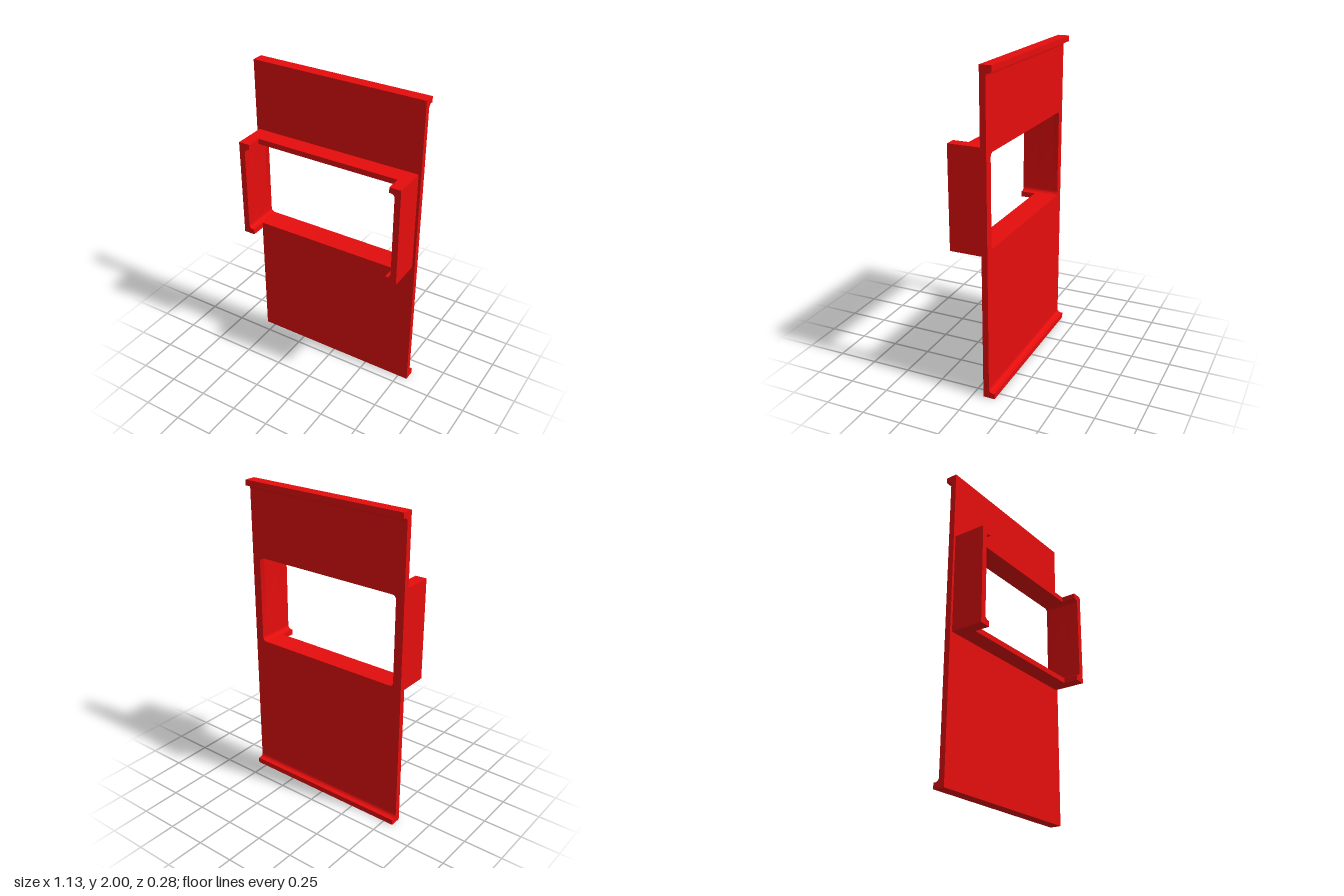
import * as THREE from 'three';
import { toCreasedNormals } from 'three/addons/utils/BufferGeometryUtils.js';

const W = 0.565, H = 2;                        // plate half width, height
const BACK = -0.142, INNER = -0.105, FACE = -0.068, RIM = 0.045, FRONT = 0.142;
const LIP = 0.035, R = 0.025;                  // lip thickness, fillet radius
const CY = 1.23;                               // window centre height
const OX = 0.548, OY = 0.32;                   // frame outer half sizes
const IX = 0.51, IY = 0.285;                   // window half sizes
const EAR = 0.475;                             // inner edge of the ears

const material = new THREE.MeshStandardMaterial({ color: 0xe60d0d });

function extrude(shape, depth) {
  const g = new THREE.ExtrudeGeometry(shape, { depth, bevelEnabled: false, curveSegments: 8 });
  return toCreasedNormals(g, 0.6);
}

function rect(x0, y0, x1, y1) {
  return new THREE.Shape().moveTo(x0, y0).lineTo(x1, y0).lineTo(x1, y1).lineTo(x0, y1).closePath();
}

// Window outline with rounded corners, centred on (0, cy)
function windowHole(cy) {
  const p = new THREE.Path(), x = IX - R, y = IY - R;
  p.absarc(x, cy + y, R, 0, Math.PI / 2);
  p.absarc(-x, cy + y, R, Math.PI / 2, Math.PI);
  p.absarc(-x, cy - y, R, Math.PI, Math.PI * 1.5);
  p.absarc(x, cy - y, R, Math.PI * 1.5, Math.PI * 2);
  return p.closePath();
}

export function createModel() {
  const group = new THREE.Group();
  const add = (name, geometry) => {
    const mesh = new THREE.Mesh(geometry, material);
    mesh.name = name;
    group.add(mesh);
    return mesh;
  };

  // Flat plate with the window cut out
  const plate = rect(-W, LIP + R, W, H - LIP - R);
  plate.holes.push(windowHole(CY));
  add('plate', extrude(plate, FACE - INNER)).position.z = INNER;

  // Backward lips along the bottom and top edges, filleted into the plate
  const lip = new THREE.Shape();
  lip.moveTo(-FACE, 0).lineTo(-BACK, 0).lineTo(-BACK, LIP);
  lip.absarc(-INNER + R, LIP + R, R, -Math.PI / 2, -Math.PI, true);
  lip.lineTo(-FACE, LIP + R).closePath();
  const lipGeometry = extrude(lip, 2 * W).translate(0, 0, -W).rotateY(Math.PI / 2);
  add('bottomLip', lipGeometry);
  const topLip = add('topLip', lipGeometry.clone().rotateZ(Math.PI));
  topLip.position.y = H;

  // Frame standing forward around the window
  const ring = rect(-OX, -OY, OX, OY);
  ring.holes.push(windowHole(0));
  add('windowFrame', extrude(ring, RIM - FACE)).position.set(0, CY, FACE);

  // C-shaped ears continuing the two ends of the frame
  const ear = new THREE.Shape();
  ear.moveTo(EAR, -OY).lineTo(OX, -OY).lineTo(OX, OY).lineTo(EAR, OY).lineTo(EAR, IY);
  ear.absarc(IX - R, IY - R, R, Math.PI / 2, 0, true);
  ear.absarc(IX - R, -IY + R, R, 0, -Math.PI / 2, true);
  ear.lineTo(EAR, -IY).closePath();
  const earGeometry = extrude(ear, FRONT - RIM);
  add('leftEar', earGeometry).position.set(0, CY, RIM);
  add('rightEar', earGeometry.clone().rotateZ(Math.PI)).position.set(0, CY, RIM);

  return group;
}
